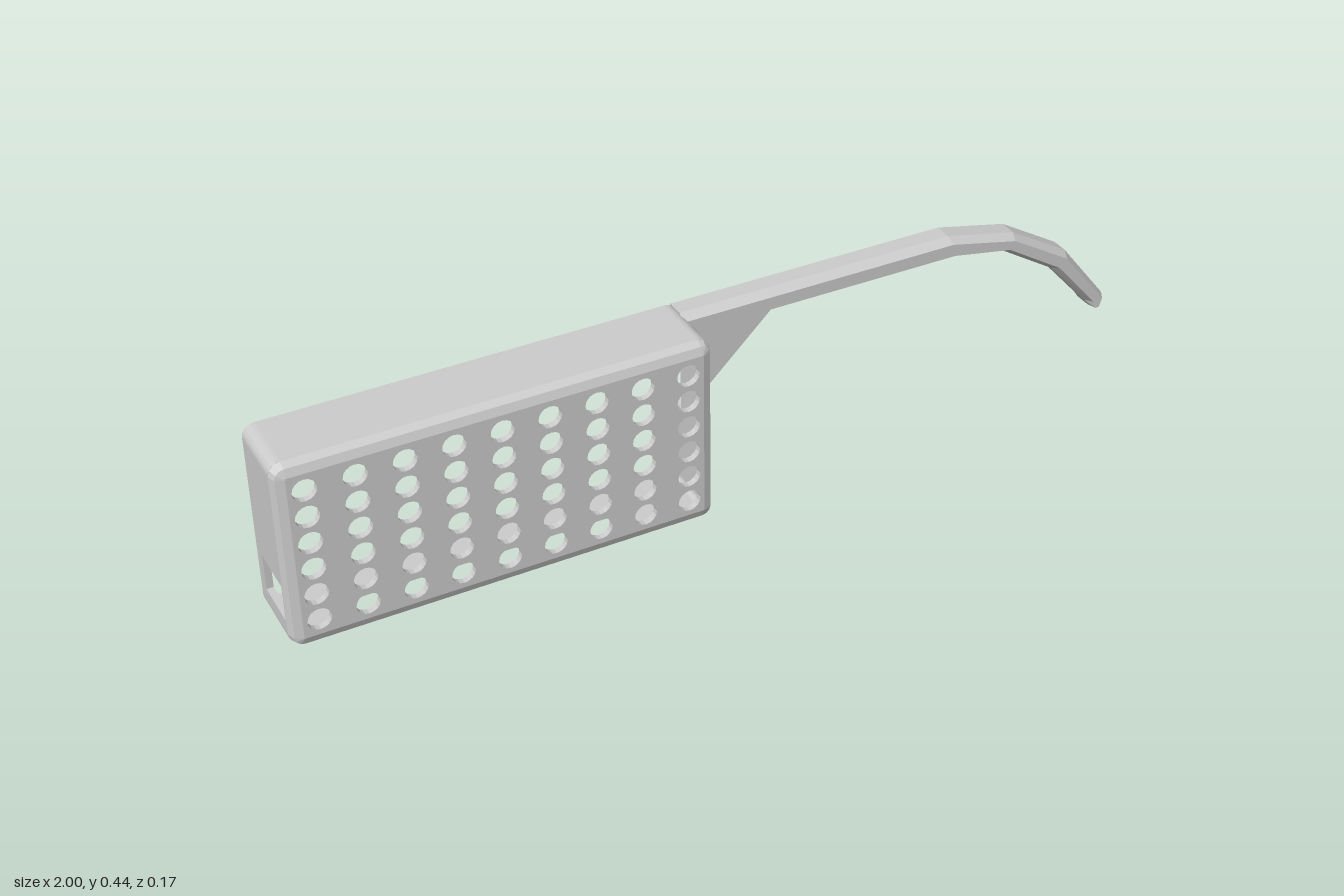
import * as THREE from 'three';

const mat = new THREE.MeshStandardMaterial({ color: 0xcccccc, flatShading: true, side: THREE.DoubleSide });
const X0 = -1, X1 = -0.065, H = 0.438;      // case extents
const ZB = -0.085, ZM = 0.06, ZF = 0.085;   // open back, start of rounded front, front
const T = 0.015, R = 0.027;                 // wall thickness, corner radius

function rect(x0, y0, x1, y1, Kind = THREE.Shape) {
  return new Kind([[x0, y0], [x1, y0], [x1, y1], [x0, y1]].map(p => new THREE.Vector2(...p)));
}

function extrude(shape, depth, curveSegments = 8) {
  return new THREE.ExtrudeGeometry(shape, { depth, bevelEnabled: false, curveSegments });
}

// Skin between closed cross-sections; wrap joins the last one to the first
function loft(sections, wrap, capEnd = 0) {
  const m = sections[0].length, n = sections.length, index = [];
  for (let i = 0; i < (wrap ? n : n - 1); i++) {
    for (let j = 0; j < m; j++) {
      const i2 = (i + 1) % n, j2 = (j + 1) % m;
      const a = i * m + j, b = i2 * m + j, c = i2 * m + j2, d = i * m + j2;
      index.push(a, b, c, a, c, d);
    }
  }
  for (let j = 1; j < capEnd - 1; j++) index.push((n - 1) * m, (n - 1) * m + j + 1, (n - 1) * m + j);
  const g = new THREE.BufferGeometry().setFromPoints(sections.flat());
  g.setIndex(index);
  const flat = g.toNonIndexed();
  flat.computeVertexNormals();
  return flat;
}

export function createModel() {
  const group = new THREE.Group();
  const add = (name, geo) => {
    const mesh = new THREE.Mesh(geo, mat);
    mesh.name = name;
    group.add(mesh);
  };

  // Perforated front plate
  const front = rect(X0 + 0.025, 0.025, X1 - 0.025, H - 0.025);
  for (let c = 0; c < 9; c++) {
    for (let r = 0; r < 6; r++) {
      front.holes.push(new THREE.Path().absarc(-0.94 + c * 0.1019, 0.062 + r * 0.0626, 0.0255, 0, Math.PI * 2, true));
    }
  }
  add('frontPlate', extrude(front, 0.015).translate(0, 0, ZF - 0.015));

  // Rounded edge running around the front plate
  const profile = [[0, ZM], [0.007, 0.078], [0.025, ZF], [0.025, 0.07], [T, 0.07], [T, ZM]];
  const corners = [[X0 + R, R, 2], [X1 - R, R, 3], [X1 - R, H - R, 0], [X0 + R, H - R, 1]];
  const edge = [];
  for (const [cx, cy, q] of corners) {
    for (let k = 0; k <= 3; k++) {
      const a = (q + k / 3) * Math.PI / 2;
      edge.push(profile.map(([inset, z]) =>
        new THREE.Vector3(cx + Math.cos(a) * (R - inset), cy + Math.sin(a) * (R - inset), z)));
    }
  }
  add('frontEdge', loft(edge, true));

  // Corner strips between the walls
  for (const [cx, cy, q] of corners) {
    const s = new THREE.Shape();
    s.absarc(0, 0, R, 0, Math.PI / 2, false);
    s.absarc(0, 0, R - T, Math.PI / 2, 0, true);
    add('cornerStrip', extrude(s, ZM - ZB, 3).rotateZ(q * Math.PI / 2).translate(cx, cy, ZB));
  }

  // Top wall, and bottom wall with a long slot
  const top = rect(X0 + R, ZB, X1 - R, ZM);
  add('topWall', extrude(top, T).rotateX(Math.PI / 2).translate(0, H, 0));
  const bottom = rect(X0 + R, ZB, X1 - R, ZM);
  bottom.holes.push(rect(-0.85, -0.015, -0.225, 0.056, THREE.Path));
  add('bottomWall', extrude(bottom, T).rotateX(Math.PI / 2).translate(0, T, 0));

  // End wall with a small window
  const end = rect(ZB, R, ZM, H - R);
  end.holes.push(rect(-0.055, 0.06, 0.056, 0.145, THREE.Path));
  add('endWall', extrude(end, T).rotateY(-Math.PI / 2).translate(X0 + T, 0, 0));

  // Wall on the handle side, notched where the hollow handle opens into the case
  const notched = new THREE.Shape([
    [ZB, R], [ZM, R], [ZM, H - R], [-0.038, H - R], [-0.038, 0.205], [ZB, 0.205],
  ].map(p => new THREE.Vector2(...p)));
  add('handleSideWall', extrude(notched, T).rotateY(-Math.PI / 2).translate(X1, 0, 0));

  // Hollow handle: stations give the upper and lower edge, from gusset to hooked tip
  const stations = [
    [-0.078, H, -0.078, 0.188], [0.125, H, 0.125, 0.385], [0.57, H, 0.58, 0.385],
    [0.74, 0.4, 0.715, 0.361], [0.885, 0.313, 0.85, 0.277], [0.998, 0.17, 0.952, 0.163],
    [0.986, 0.147, 0.963, 0.147],
  ];
  const handle = stations.map(([ax, ay, bx, by]) => {
    const a = new THREE.Vector3(ax, ay, 0), b = new THREE.Vector3(bx, by, 0);
    const w = a.distanceTo(b), d = Math.min(0.012, w * 0.3);
    return [
      [0, ZB], [0, -0.045], [d, -0.024], [w - d, -0.024], [w, -0.045], [w, ZB],
      [w - d, ZB], [w - d, -0.04], [d, -0.04], [d, ZB],
    ].map(([s, z]) => b.clone().lerp(a, s / w).setZ(z));
  });
  add('handle', loft(handle, false, 6));

  return group;
}
